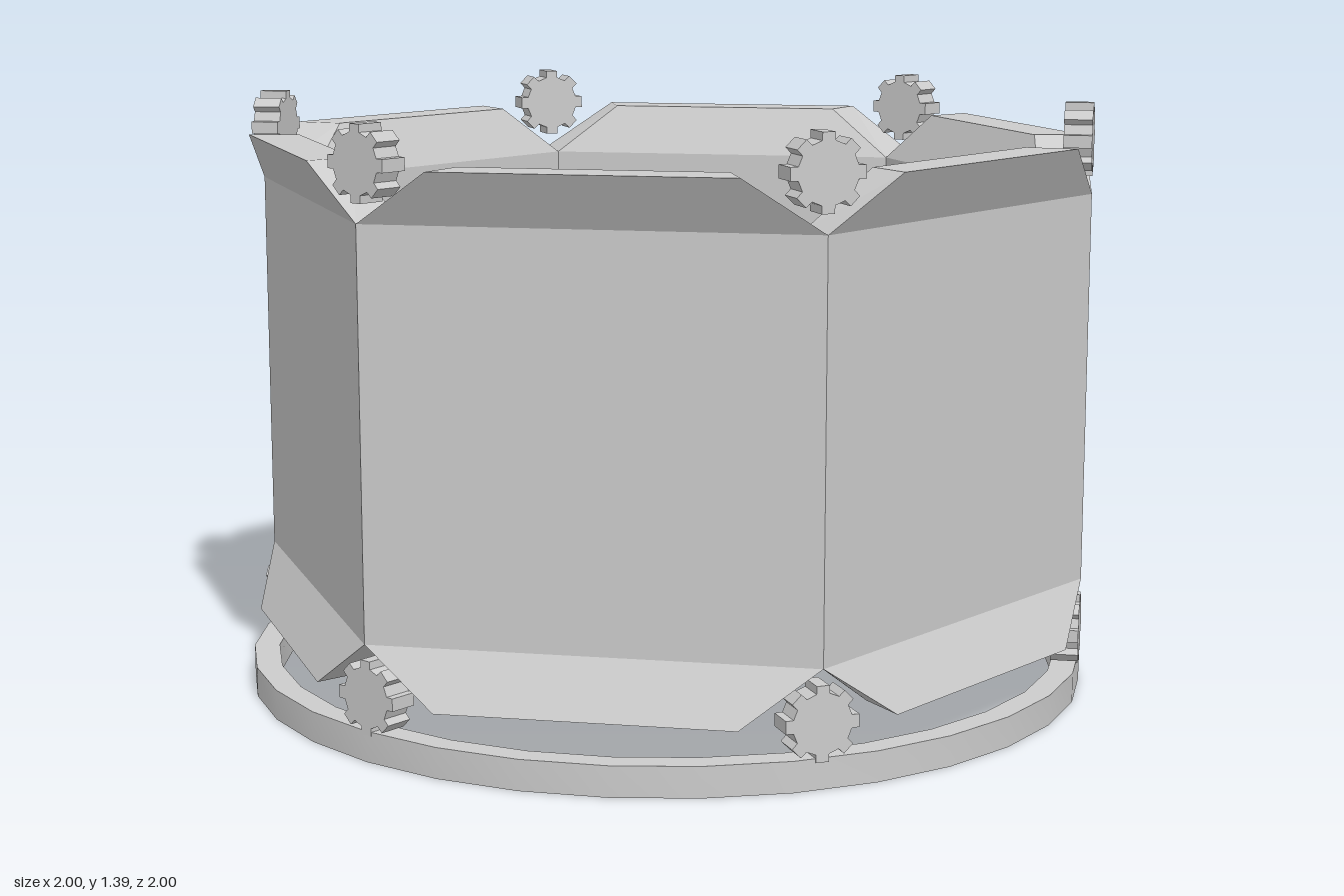
import * as THREE from 'three';
import { toCreasedNormals } from 'three/addons/utils/BufferGeometryUtils.js';

const material = new THREE.MeshStandardMaterial({ color: 0xcccccc });
const APOTHEM = 0.866, LOW = 0.265, HIGH = 1.18, INNER = 0.88;

function shapeOf(points) {
  return new THREE.Shape(points.map(([x, y]) => new THREE.Vector2(x, y)));
}

function extrude(shape, depth) {
  return new THREE.ExtrudeGeometry(shape, { depth, bevelEnabled: false, steps: 1 });
}

function add(parent, name, geometry, x = 0, y = 0, z = 0) {
  const mesh = new THREE.Mesh(geometry, material);
  mesh.name = name;
  mesh.position.set(x, y, z);
  parent.add(mesh);
  return mesh;
}

// Wall piece: tapers towards the middle of the room and flares out past LOW and HIGH
function wallGeometry(shape) {
  const geometry = extrude(shape, 1);
  const p = geometry.attributes.position;
  for (let i = 0; i < p.count; i++) {
    const y = p.getY(i);
    const flare = Math.max(0, y - HIGH, LOW - y) * 0.56;
    const s = INNER + (1 - INNER) * p.getZ(i);
    p.setX(i, p.getX(i) * s);
    p.setZ(i, (APOTHEM + flare) * s);
  }
  geometry.computeVertexNormals();
  return geometry;
}

function windowOutline() {
  const quarter = [[0.303, 0], [0.262, 0.125], [0.15, 0.172]];
  const top = [...quarter, ...quarter.slice().reverse().map(([x, y]) => [-x, y])];
  const bottom = top.slice(1, -1).reverse().map(([x, y]) => [x, -y]);
  return [...top, ...bottom].map(([x, y]) => new THREE.Vector2(x, y + 0.512));
}

function gearGeometry() {
  const points = [];
  for (let i = 0; i < 8; i++) {
    const a = (i * Math.PI) / 4;
    for (const [da, r] of [[-0.22, 0.068], [-0.17, 0.085], [0.17, 0.085], [0.22, 0.068]]) {
      points.push([Math.cos(a + da) * r, Math.sin(a + da) * r]);
    }
  }
  return extrude(shapeOf(points), 0.065);
}

export function createModel() {
  const model = new THREE.Group();
  model.name = 'hexagonalRoom';

  // Base ring
  const ringProfile = [[0.94, 0], [1, 0], [1, 0.07], [0.94, 0.07], [0.94, 0]]
    .map(([x, y]) => new THREE.Vector2(x, y));
  add(model, 'baseRing', toCreasedNormals(new THREE.LatheGeometry(ringProfile, 32), 0.5));

  // Six wall panels with flared top and bottom edges, gears at the corners
  const gear = gearGeometry();
  const upper = wallGeometry(shapeOf([[-0.5, HIGH], [0.5, HIGH], [0.33, 1.3], [-0.33, 1.3]]));
  const lower = wallGeometry(shapeOf([[-0.33, 0.14], [0.33, 0.14], [0.5, LOW], [-0.5, LOW]]));
  for (let i = 0; i < 6; i++) {
    const angle = (i * Math.PI) / 3;
    const panel = new THREE.Group();
    panel.name = i === 1 ? 'windowPanel' : 'wallPanel';
    panel.rotation.y = angle;
    model.add(panel);

    const face = shapeOf([[-0.5, LOW], [0.5, LOW], [0.5, HIGH], [-0.5, HIGH]]);
    if (i === 1) face.holes.push(new THREE.Path(windowOutline()));
    add(panel, 'wall', wallGeometry(face));
    add(panel, 'upperFlare', upper);
    add(panel, 'lowerFlare', lower);

    const corner = new THREE.Group();
    corner.name = 'cornerGears';
    corner.rotation.y = angle + Math.PI / 6;
    model.add(corner);
    add(corner, 'lowerGear', gear, 0, 0.145, 0.935);
    add(corner, 'upperGear', gear, 0, 1.307, 0.935);

    // Ledge below the window
    if (i === 1) {
      const ledge = shapeOf([[-0.128, -0.79], [0.128, -0.79], [0.128, -0.618],
        [0.052, -0.518], [-0.052, -0.518], [-0.128, -0.618]]);
      add(panel, 'windowLedge', extrude(ledge, 0.085), 0, 0.25, 0).rotation.x = -Math.PI / 2;
    }
  }

  // Hexagonal table in the middle with a small block on its front edge
  const table = new THREE.CylinderGeometry(0.277, 0.277, 0.09, 6).toNonIndexed();
  table.rotateY(Math.PI / 6);
  table.computeVertexNormals();
  add(model, 'centreTable', table, 0, 0.275, 0);
  const block = shapeOf([[-0.075, -0.265], [0.075, -0.265], [0.045, -0.18],
    [0.018, -0.13], [-0.018, -0.13], [-0.045, -0.18]]);
  add(model, 'tableBlock', extrude(block, 0.065), 0, 0.3, 0).rotation.x = -Math.PI / 2;

  // Three hexagonal buttons on the inside of the front wall
  for (const x of [-0.17, 0, 0.17]) {
    const plate = new THREE.CylinderGeometry(0.075, 0.075, 0.016, 6).toNonIndexed();
    plate.rotateY(Math.PI / 6).rotateX(-Math.PI / 2);
    plate.computeVertexNormals();
    add(model, 'button', plate, x, 0.45, 0.757);
    const knob = new THREE.CylinderGeometry(0.035, 0.035, 0.02, 3).toNonIndexed();
    knob.rotateX(-Math.PI / 2);
    knob.computeVertexNormals();
    add(model, 'buttonKnob', knob, x, 0.47, 0.75);
  }
  return model;
}
